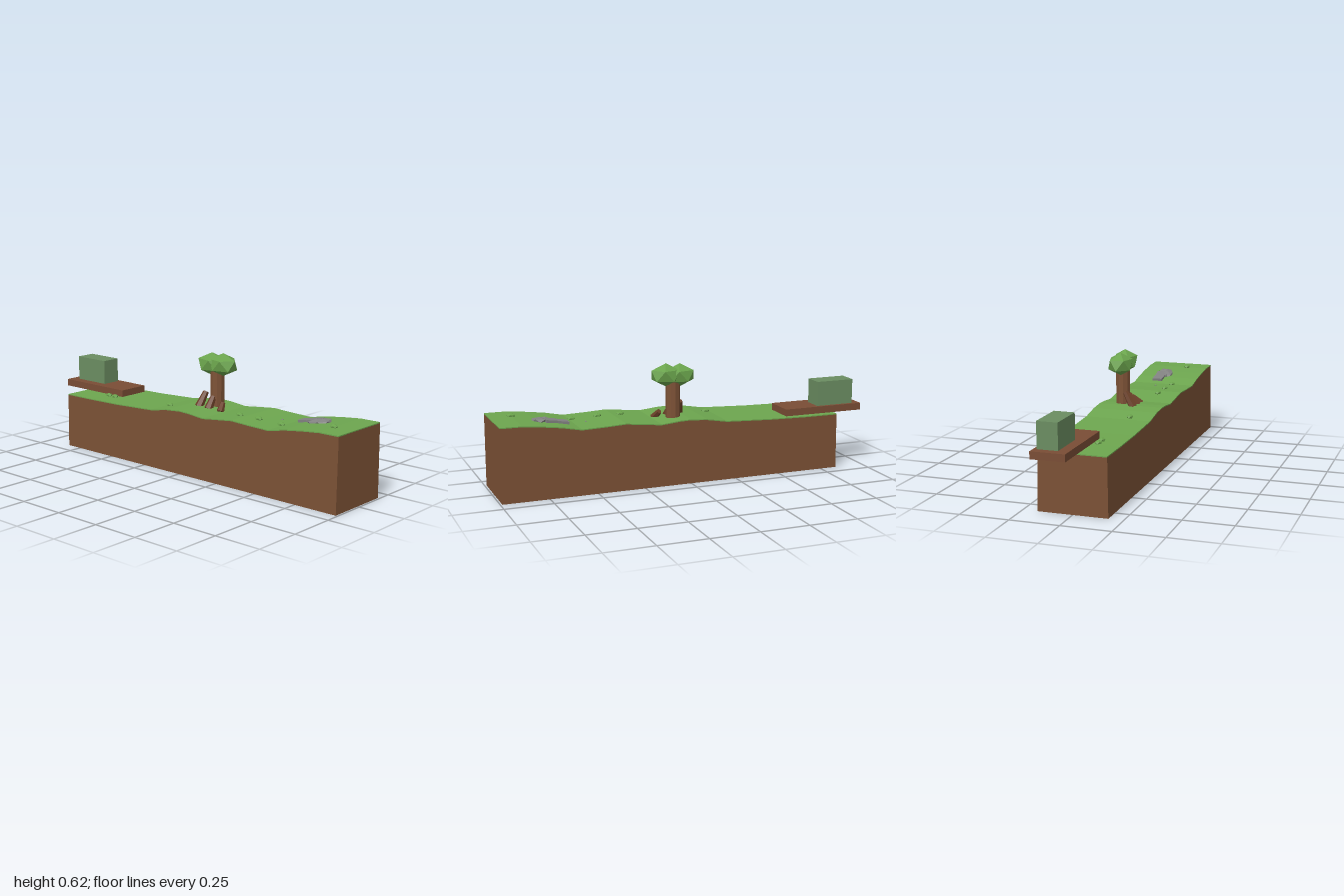
import * as THREE from 'three';
import { ConvexGeometry } from 'three/addons/geometries/ConvexGeometry.js';

const material = (name, color) => {
  const m = new THREE.MeshStandardMaterial({ color, flatShading: true });
  m.name = name;
  return m;
};

// Ground height along x
const PROFILE = [
  [-0.84, 0.295], [-0.65, 0.296], [-0.45, 0.3], [-0.2, 0.311], [-0.09, 0.33], [0, 0.337],
  [0.06, 0.335], [0.16, 0.325], [0.24, 0.334], [0.35, 0.346], [0.45, 0.341], [0.58, 0.337],
  [0.68, 0.357], [0.78, 0.37], [0.88, 0.38], [0.99, 0.381],
];

function groundY(x) {
  for (let i = 1; i < PROFILE.length; i++) {
    const [x0, y0] = PROFILE[i - 1], [x1, y1] = PROFILE[i];
    if (x <= x1) return y0 + (y1 - y0) * (x - x0) / (x1 - x0);
  }
  return PROFILE[PROFILE.length - 1][1];
}

// Slab along the ground profile; bottom is a height function
function slab(bottom, drop, halfDepth, taper) {
  const top = PROFILE.map(([x, y]) => new THREE.Vector2(x, y - drop));
  const under = PROFILE.map(([x]) => new THREE.Vector2(x, bottom(x))).reverse();
  const shape = new THREE.Shape(top.concat(under));
  const geo = new THREE.ExtrudeGeometry(shape, { depth: halfDepth * 2, bevelEnabled: false });
  geo.translate(0, 0, -halfDepth);
  const p = geo.attributes.position;
  for (let i = 0; i < p.count; i++) p.setZ(i, p.getZ(i) * (1 + taper * (1 - p.getY(i) / 0.38)));
  geo.computeVertexNormals();
  return geo;
}

// Twenty-sided ball with a vertex at each pole
function ball(rx, ry, rz) {
  const pts = [new THREE.Vector3(0, ry, 0), new THREE.Vector3(0, -ry, 0)];
  for (let i = 0; i < 10; i++) {
    const a = i * Math.PI / 5, s = i % 2 ? -1 : 1;
    pts.push(new THREE.Vector3(rx * 0.894 * Math.cos(a), ry * 0.447 * s, rz * 0.894 * Math.sin(a)));
  }
  return new ConvexGeometry(pts);
}

export function createModel() {
  const model = new THREE.Group();
  model.name = 'terrainStrip';
  const soil = material('soil', 0x7b5135);
  const grass = material('grass', 0x6da64f);
  const leaf = material('leaf', 0x6aa34c);
  const bark = material('bark', 0x7d5236);
  const root = material('rootBrown', 0x6b4028);
  const plank = material('plank', 0x7a4d35);
  const moss = material('mossGreen', 0x6b8d61);
  const stone = material('stone', 0x828282);

  const add = (parent, name, geo, mat, x = 0, y = 0, z = 0) => {
    const mesh = new THREE.Mesh(geo, mat);
    mesh.name = name;
    mesh.position.set(x, y, z);
    parent.add(mesh);
    return mesh;
  };
  const group = (name) => {
    const g = new THREE.Group();
    g.name = name;
    model.add(g);
    return g;
  };

  // Ground block with a thin turf layer
  add(model, 'soilBlock', slab(() => 0, 0.005, 0.17, 0.035), soil);
  add(model, 'turf', slab((x) => groundY(x) - 0.005, 0, 0.171, 0), grass);

  // Overhanging platform and crate
  add(model, 'platform', new THREE.BoxGeometry(0.447, 0.037, 0.172), plank, -0.777, 0.316, -0.055);
  add(model, 'crate', new THREE.BoxGeometry(0.21, 0.131, 0.104), moss, -0.852, 0.4, -0.072);

  // Tree
  const tree = group('tree');
  add(tree, 'trunk', new THREE.CylinderGeometry(0.038, 0.038, 0.21, 10), bark, 0.059, 0.425, -0.061);
  add(tree, 'crownRight', ball(0.087, 0.06, 0.07), leaf, 0.021, 0.55, -0.062);
  add(tree, 'crownLeft', ball(0.087, 0.06, 0.07), leaf, 0.097, 0.555, -0.062);

  // Roots leaning against the trunk: foot, head, radius
  const roots = [
    [[-0.002, 0.33, 0.015], [0.008, 0.405, -0.03], 0.023],
    [[0.062, 0.325, 0.015], [0.058, 0.385, -0.03], 0.024],
    [[0.138, 0.32, 0.01], [0.122, 0.36, -0.03], 0.021],
  ];
  for (const [foot, head, r] of roots) {
    const a = new THREE.Vector3(...foot), b = new THREE.Vector3(...head);
    const dir = b.clone().sub(a);
    const mesh = add(tree, 'root', new THREE.CylinderGeometry(r * 0.65, r, dir.length(), 6), root);
    mesh.position.copy(a.add(b).multiplyScalar(0.5));
    mesh.quaternion.setFromUnitVectors(new THREE.Vector3(0, 1, 0), dir.normalize());
  }

  // Small bushes in a row
  const bushes = group('bushes');
  for (const x of [-0.635, -0.588, -0.172, 0.308, 0.43, 0.57, 0.88])
    add(bushes, 'bush', ball(0.023, 0.012, 0.018), leaf, x, groundY(x) + 0.004, 0.055);

  // Flat stones following the slope: x, z, sizes, turn
  const stones = group('stones');
  const slope = Math.atan2(0.033, 0.2);
  for (const [x, z, w, d, turn] of [[0.645, -0.047, 0.06, 0.055, 0], [0.705, -0.045, 0.065, 0.062, 0.1]]) {
    const s = add(stones, 'flatStone', new THREE.BoxGeometry(w, 0.022, d), stone, x, groundY(x) + 0.001, z);
    s.rotation.set(0, turn, slope);
  }
  for (const [x, z, rx, rz, turn] of [[0.728, -0.02, 0.052, 0.036, 0.3], [0.758, -0.035, 0.045, 0.045, 0.8]]) {
    const s = add(stones, 'roundStone', ball(rx, 0.018, rz), stone, x, groundY(x) + 0.001, z);
    s.rotation.set(0, turn, slope);
  }
  add(stones, 'pebble', ball(0.006, 0.005, 0.006), stone, 0.515, groundY(0.515), -0.025);

  return model;
}
